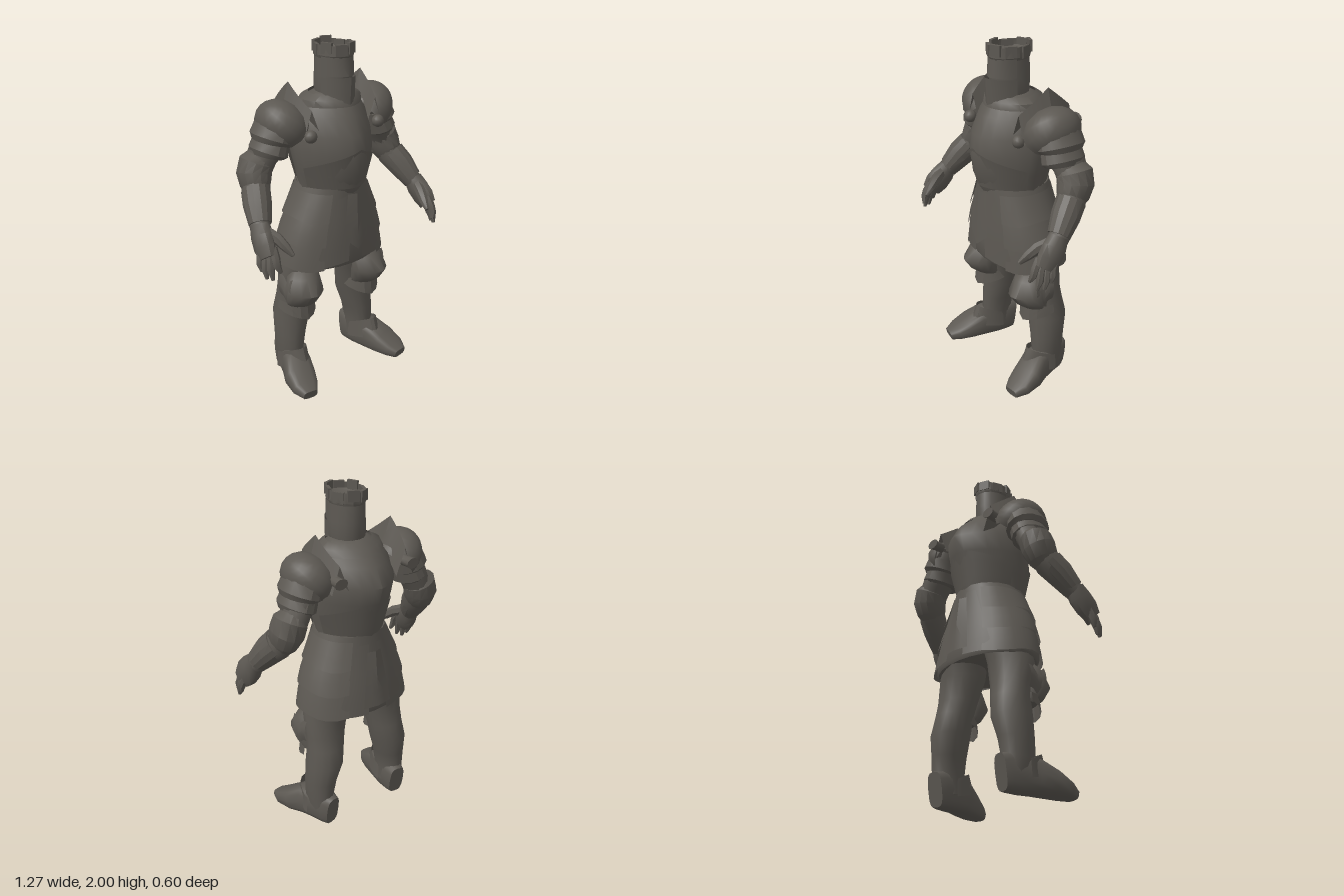
import * as THREE from 'three';
import { toCreasedNormals } from 'three/addons/utils/BufferGeometryUtils.js';
import { ParametricGeometry } from 'three/addons/geometries/ParametricGeometry.js';

const steel = new THREE.MeshStandardMaterial({ color: 0x5c5852, side: THREE.DoubleSide });
steel.name = 'dark steel';

// superellipse coordinate: p < 1 is boxier, p > 1 is more ridged
const pow = (v, p) => Math.sign(v) * Math.abs(v) ** p;

// Skin through elliptical rings [x, y, z, rx, rz], listed from top to bottom or along a limb
function loft(rings, { level = false, n = 14, p = 1, caps = true } = {}) {
  const pos = [], index = [];
  const centres = rings.map(r => new THREE.Vector3(r[0], r[1], r[2]));
  rings.forEach((r, i) => {
    const t = level ? new THREE.Vector3(0, -1, 0)
      : centres[Math.min(i + 1, rings.length - 1)].clone().sub(centres[Math.max(i - 1, 0)]).normalize();
    const u = new THREE.Vector3(1, 0, 0).addScaledVector(t, -t.x).normalize();
    const v = t.clone().cross(u);
    for (let j = 0; j < n; j++) {
      const a = (j / n) * Math.PI * 2;
      const q = centres[i].clone().addScaledVector(u, r[3] * pow(Math.cos(a), p)).addScaledVector(v, r[4] * pow(Math.sin(a), p));
      pos.push(q.x, q.y, q.z);
    }
  });
  const last = (rings.length - 1) * n, c0 = rings.length * n;
  for (const c of [centres[0], centres.at(-1)]) pos.push(c.x, c.y, c.z);
  for (let j = 0; j < n; j++) {
    const k = (j + 1) % n;
    for (let i = 0; i < last; i += n) index.push(i + j, i + k, i + n + j, i + k, i + n + k, i + n + j);
    if (caps) index.push(c0, k, j, c0 + 1, last + j, last + k);
  }
  const g = new THREE.BufferGeometry();
  g.setAttribute('position', new THREE.Float32BufferAttribute(pos, 3));
  g.setIndex(index);
  return g;
}

// Rings given as [y, half width, front z, back z]
const body = (rows, opts) => loft(rows.map(([y, w, f, b]) => [0, y, (f + b) / 2, w, (f - b) / 2]), { level: true, n: 24, ...opts });

// Curved sheet from a rule (u, v) -> [x, y, z]
const sheet = (rule, nu = 6, nv = 4) => new ParametricGeometry((u, v, out) => out.set(...rule(u, v)), nu, nv);

// Ellipsoid, or its upper part
const blob = (x, y, z, rx, ry, rz, tilt = 0, theta = Math.PI) =>
  new THREE.SphereGeometry(1, 14, 9, 0, Math.PI * 2, 0, theta).scale(rx, ry, rz).rotateZ(tilt).translate(x, y, z);

export function createModel() {
  const model = new THREE.Group();
  const bare = g => { const c = g.index ? g.toNonIndexed() : g.clone(); c.deleteAttribute('uv'); c.deleteAttribute('normal'); return c; };
  const add = (name, geo, crease = 0.8) => {
    const g = bare(geo);
    g.computeVertexNormals();
    const m = new THREE.Mesh(toCreasedNormals(g, crease), steel);
    m.name = name;
    model.add(m);
  };
  // Left part plus its mirror image with the corner order reversed
  const pair = (name, geo, crease) => {
    add(name + 'Left', geo, crease);
    const g = bare(geo), a = g.attributes.position;
    for (let i = 0; i < a.count; i += 3) {
      const c = [0, 2, 1].map(k => [-a.getX(i + k), a.getY(i + k), a.getZ(i + k)]);
      c.forEach((q, k) => a.setXYZ(i + k, ...q));
    }
    add(name + 'Right', g, crease);
  };

  // Cuirass, waist plates and collar
  add('cuirass', body([[1.73, .10, .10, -.10], [1.69, .17, .14, -.17], [1.62, .22, .19, -.245], [1.52, .245, .24, -.3],
    [1.42, .245, .255, -.275], [1.3, .225, .24, -.235], [1.22, .205, .21, -.215], [1.16, .2, .18, -.2]], { p: 1.25 }));
  for (const s of [1, -1]) add(s > 0 ? 'waistPlateFront' : 'waistPlateBack', sheet((u, v) => {
    const a = (u - .5) * 2.6, top = 1.45 - .11 * Math.abs(u - .5) * 2, y = THREE.MathUtils.lerp(1.22, top, v);
    const w = .212 + .036 * v, d = s > 0 ? .213 + .043 * v : .222 + .052 * v;
    return [w * pow(Math.sin(a), 1.22), y, s * d * pow(Math.cos(a), 1.22)];
  }, 12, 4));
  add('collar', body([[1.725, .135, .125, -.135], [1.7, .185, .15, -.175], [1.665, .195, .16, -.205]], { p: 1.2, caps: false }));

  // Skirt with overlapping hip plates
  const skirt = [[1.22, .2, .19, -.21], [1.08, .255, .195, -.225], [.98, .295, .2, -.24], [.86, .325, .2, -.255], [.77, .335, .2, -.262]];
  add('skirt', body([...skirt, [.75, .32, .19, -.255], [.8, .25, .14, -.2]], { p: .97 }));
  const onSkirt = (a, y, off) => {
    let i = 0;
    while (i < skirt.length - 2 && y < skirt[i + 1][0]) i++;
    const A = skirt[i], B = skirt[i + 1], t = (y - A[0]) / (B[0] - A[0]);
    const [w, f, b] = [1, 2, 3].map(k => A[k] + (B[k] - A[k]) * t);
    return [(w + off) * pow(Math.cos(a), .97), y, (f + b) / 2 + ((f - b) / 2 + off) * pow(Math.sin(a), .97)];
  };
  [1.19, 1.05, .91].forEach((top, i) => pair('hipPlate' + i, sheet((u, v) => {
    const a = -1.05 + 2.05 * u;
    return onSkirt(a, top - (.15 + .012 * Math.sin(u * 9)) * v, .004 + .013 * v);
  }, 10, 2), .5));
  // Cloth tails, front and back
  pair('frontTail', sheet((u, v) => onSkirt(1.56 - (.12 + .6 * u) * (.6 + .4 * v), 1.19 - .4 * v - .03 * u, .01 + .012 * v * (1 - u)), 4, 5), .5);
  pair('backTail', sheet((u, v) => onSkirt(-1.52 + (.12 + .55 * u) * (.5 + .5 * v), 1.17 - .41 * v, .01 + .012 * v * (1 - u)), 4, 5), .5);
  add('backFlap', sheet((u, v) => [(u - .5) * (.09 + .1 * v), 1.13 - .33 * v, -.238 - .036 * v - .015 * (1 - Math.abs(u * 2 - 1))], 4, 4), .4);
  add('frontFlap', sheet((u, v) => {
    const k = Math.abs(u * 2 - 1), w = v < .7 ? .05 + .04 * v : .078;
    return [(u * 2 - 1) * w, 1.19 - v * (.33 - .07 * k), .208 + .018 * (1 - k) + .018 * v];
  }, 4, 6), .4);

  // Helm, faceplate and crown
  add('helm', body([[1.94, .07, .09, -.06], [1.955, .09, .125, -.095], [1.9, .093, .13, -.1], [1.82, .096, .13, -.102],
    [1.75, .1, .125, -.1], [1.69, .088, .1, -.09]], { n: 16 }));
  add('faceplate', sheet((u, v) => {
    const k = Math.abs(u * 2 - 1), a = (u * 2 - 1) * 1.45, low = 1.675 + .06 * k, high = 1.825 - .01 * k;
    return [.103 * Math.sin(a), low + (high - low) * v, .02 + (.115 + .033 * (1 - k) * (.75 + .25 * v)) * Math.cos(a)];
  }, 10, 3), .5);
  add('browPlate', sheet((u, v) => {
    const k = Math.abs(u * 2 - 1), a = (u * 2 - 1) * 1.45;
    return [(.1 - .002 * v) * Math.sin(a), 1.825 + .1 * v, .02 + (.114 + .014 * (1 - k) * (1 - v)) * Math.cos(a)];
  }, 10, 2), .5);
  add('crownBand', body([[1.985, .095, .137, -.105], [1.93, .099, .14, -.107], [1.915, .094, .132, -.102]], { n: 16, caps: false }), .4);
  for (let i = 0; i < 8; i++) {
    const a = (i + .5) / 8 * Math.PI * 2, low = .008 * (i % 3);
    add('crownTooth' + i, new THREE.BoxGeometry(.062, .06, .018).rotateY(a).translate(.087 * Math.sin(a), 1.97 - low, .016 + .116 * Math.cos(a)));
  }

  // Shoulder guard: dome, standing flange, lower lames and strap knobs
  pair('shoulderDome', blob(.295, 1.57, -.05, .128, .158, .165, -.75, 1.85));
  pair('shoulderFlange', sheet((u, v) => {
    const k = Math.abs(u * 2 - 1), s = v * 2 - 1, t = Math.abs(s);
    const top = 1.8 - .13 * k;
    return [.25 - .03 * k * k + (s < 0 ? -.06 * t : .05 * t), top - (.17 - .02 * k) * t, -.055 + (u * 2 - 1) * .165];
  }, 8, 4), .4);
  [[.335, 1.57, .115, .14], [.36, 1.5, .1, .126]].forEach(([x, y, w, d], i) =>
    pair('shoulderLame' + i, loft([[x, y, -.06, w * .93, d * .93], [x + .025, y - .06, -.06, w, d], [x + .03, y - .08, -.06, w * .86, d * .86]]), .5));
  pair('strapKnobFront', blob(.235, 1.535, .12, .035, .035, .035));
  pair('strapKnobBack', loft([[.235, 1.59, -.19, .03, .03], [.24, 1.59, -.24, .03, .03], [.24, 1.59, -.262, .042, .03]].reverse(), { n: 10 }));

  // Arms, elbow guards and gauntlets
  pair('upperArm', loft([[.31, 1.6, -.05, .09, .11], [.365, 1.49, -.07, .09, .11], [.41, 1.41, -.085, .075, .095], [.455, 1.31, -.09, .07, .085]]));
  pair('elbowGuard', loft([[.42, 1.42, -.085, .055, .075], [.443, 1.385, -.09, .094, .1], [.464, 1.325, -.085, .095, .102], [.473, 1.27, -.06, .08, .095], [.478, 1.235, -.045, .06, .075]]), .5);
  pair('forearm', loft([[.455, 1.33, -.08, .07, .08], [.488, 1.24, -.035, .076, .085], [.52, 1.17, .03, .066, .075], [.555, 1.09, .095, .052, .058]]));
  pair('gauntletCuff', loft([[.49, 1.25, -.035, .077, .086], [.518, 1.19, .02, .076, .083], [.548, 1.11, .085, .06, .065]]), .4);
  pair('palm', loft([[.555, 1.11, .09, .052, .055], [.565, 1.06, .125, .055, .075], [.577, 1.01, .165, .05, .08], [.585, .965, .2, .036, .064]], { n: 10 }));
  [[.565, .975, .245, .553, .9, .272], [.58, .965, .22, .588, .86, .25], [.59, .96, .19, .603, .858, .215], [.6, .97, .16, .61, .89, .18]].forEach(([x, y, z, X, Y, Z], i) =>
    pair('finger' + i, loft([[x - .005, y + .05, z - .03, .022, .024], [x, y, z, .024, .024], [(x + X) / 2 + .008, (y + Y) / 2, (z + Z) / 2, .022, .022], [X, Y, Z, .01, .01]], { n: 7 })));
  pair('thumb', loft([[.55, 1.09, .13, .028, .034], [.52, 1.06, .2, .03, .034], [.5, 1.02, .25, .024, .027], [.485, .985, .29, .01, .012]], { n: 7 }));

  // Legs
  pair('leg', loft([[.17, .86, -.05, .13, .14], [.195, .74, -.04, .135, .125], [.212, .6, -.06, .12, .105], [.222, .52, -.075, .11, .105],
    [.24, .41, -.085, .108, .115], [.26, .29, -.075, .088, .105], [.27, .18, -.07, .075, .1], [.262, .08, -.075, .068, .1]], { level: true, n: 16 }));
  // Knee guards: domed plate with pointed skirt and a side wing
  pair('kneeGuard', loft([[.225, .745, .015, .06, .045], [.235, .69, .032, .1, .092], [.243, .605, .054, .116, .122], [.243, .54, .03, .103, .1], [.24, .49, -.005, .085, .07]], { level: true, n: 16, p: 1.2 }), 1.1);
  pair('kneeSkirt', sheet((u, v) => {
    const k = Math.abs(u * 2 - 1), a = (u * 2 - 1) * 1.6;
    return [.243 + (.108 + .008 * v) * Math.sin(a), .53 - (.11 - .06 * k) * v, -.045 + (.125 + .012 * v) * Math.cos(a)];
  }, 8, 2), .4);
  pair('kneeWing', sheet((u, v) => [.335 + .018 * Math.sin(v * 3), .68 - .13 * v + .02 * Math.cos(u * 7), .07 - .12 * u], 4, 4), .4);

  // Boots, pointing slightly outwards, with flat bottoms
  pair('boot', loft([[.25, .098, -.178, .048, .096], [.256, .104, -.14, .062, .102], [.268, .105, -.06, .072, .103], [.292, .098, .03, .082, .093],
    [.325, .07, .11, .09, .067], [.345, .045, .19, .078, .043], [.352, .03, .248, .046, .028]], { n: 16, p: .62 }));
  pair('bootCuff', sheet((u, v) => {
    const a = (u * 2 - 1) * 1.7, k = Math.max(0, Math.cos(a));
    return [.276 + (.08 + .008 * v) * Math.sin(a), .17 + .06 * k - (.1 + .02 * k) * v, -.055 + (.105 + .045 * k * (.6 + v)) * Math.cos(a)];
  }, 12, 3), .5);
  return model;
}
